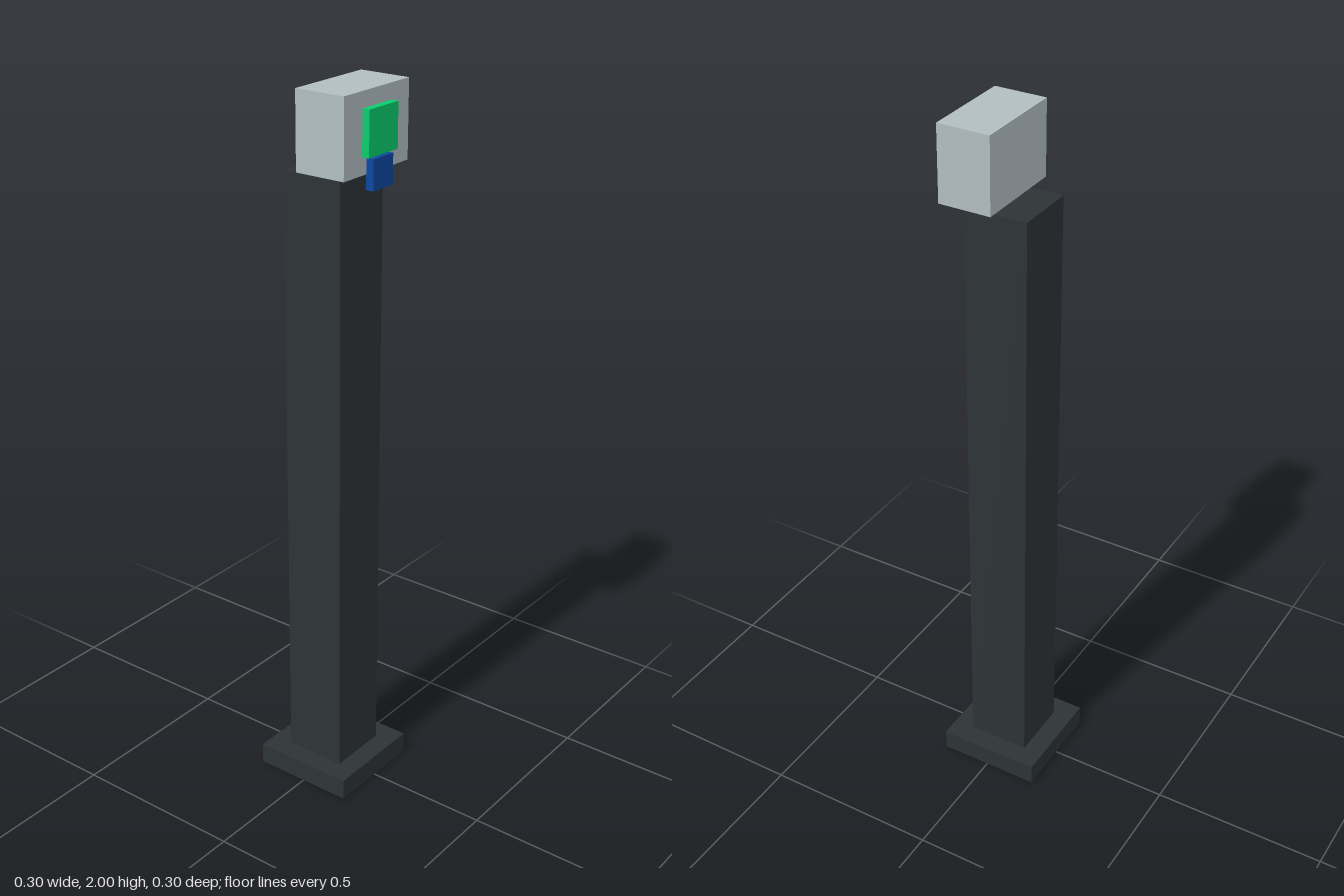
import * as THREE from 'three';

const material = (name, color) => {
  const m = new THREE.MeshStandardMaterial({ color });
  m.name = name;
  return m;
};

export function createModel() {
  const group = new THREE.Group();
  group.name = 'readerPost';
  const charcoal = material('charcoal', 0x2d3436);
  const grey = material('light grey', 0xb2bec3);
  const green = material('green', 0x08cc6c);
  const blue = material('blue', 0x0d47a1);

  // Box centred on x, given by its width and its y and z ranges
  const box = (name, mat, width, [y0, y1], [z0, z1]) => {
    const mesh = new THREE.Mesh(new THREE.BoxGeometry(width, y1 - y0, z1 - z0), mat);
    mesh.position.set(0, (y0 + y1) / 2, (z0 + z1) / 2);
    mesh.name = name;
    group.add(mesh);
  };

  // Foot and column
  box('basePlate', charcoal, 0.296, [0, 0.06], [-0.152, 0.144]);
  box('post', charcoal, 0.178, [0.06, 1.778], [-0.093, 0.085]);

  // Head unit floating just above and in front of the column
  box('head', grey, 0.266, [1.793, 2], [-0.018, 0.129]);
  box('screen', green, 0.119, [1.839, 1.958], [0.127, 0.15]);
  box('cardReader', blue, 0.082, [1.753, 1.833], [0.127, 0.15]);

  return group;
}
